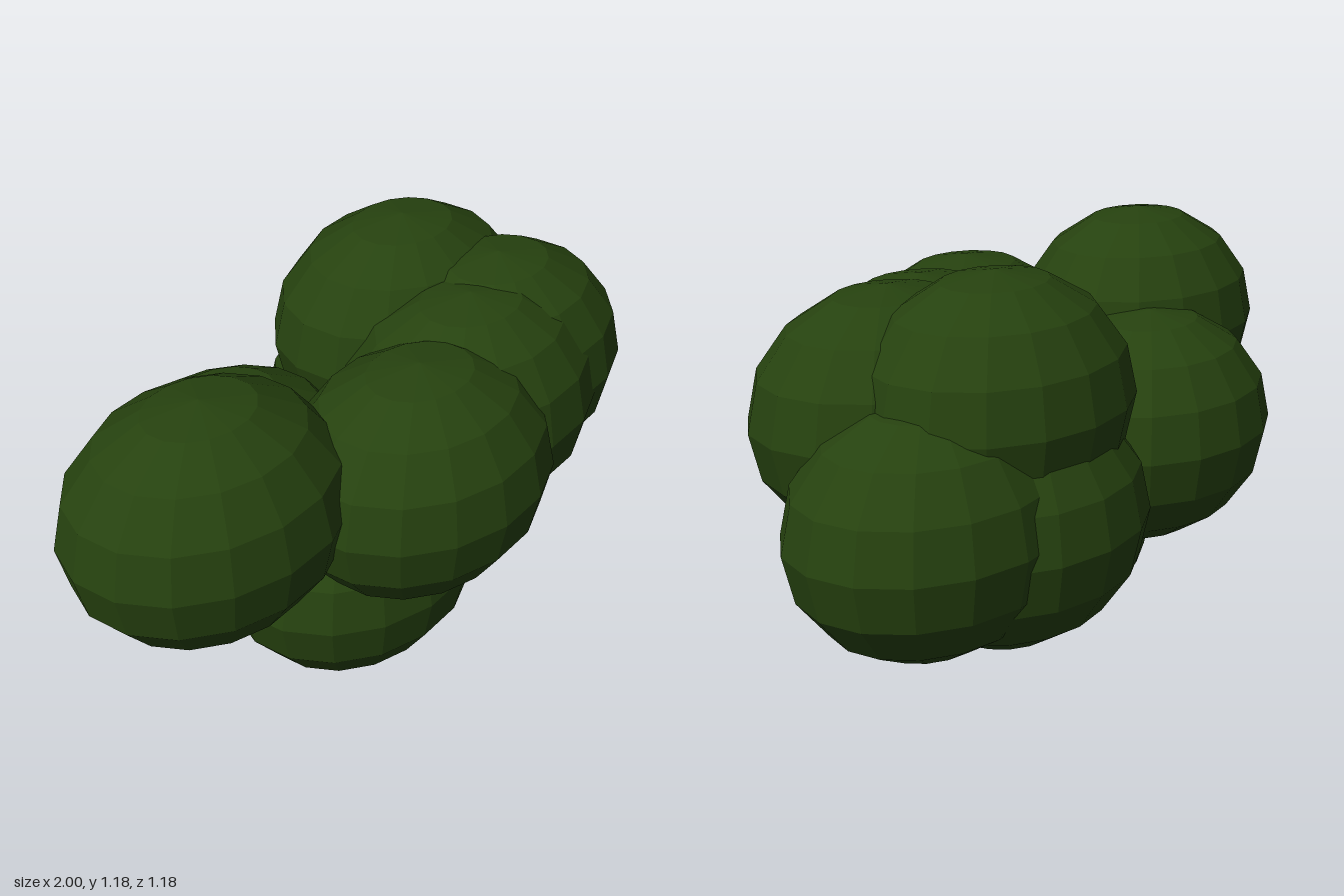
import * as THREE from 'three';

export function createModel() {
  const model = new THREE.Group();
  model.name = 'treeCrown';

  const leafGreen = new THREE.MeshStandardMaterial({ color: 0x26420f, flatShading: true });
  leafGreen.name = 'leaf green';
  const barkBrown = new THREE.MeshStandardMaterial({ color: 0x33210f, flatShading: true });
  barkBrown.name = 'bark brown';

  // Leaf clumps: one faceted, flattened ball repeated at each centre
  const clumpGeometry = new THREE.SphereGeometry(1, 16, 8);
  clumpGeometry.scale(0.4, 0.337, 0.328);
  const clumps = {
    leafClumpRight: [-0.6, 0.81, 0.09],
    leafClumpFront: [-0.03, 0.74, 0.26],
    leafClumpFrontLeft: [0.28, 0.765, 0.135],
    leafClumpLeft: [0.465, 0.785, 0.06],
    leafClumpTopBack: [0.345, 0.843, -0.2],
    leafClumpLowBack: [0.355, 0.54, -0.262],
    leafClumpFarLeft: [0.6, 0.58, -0.21],
    leafClumpBackRight: [-0.34, 0.59, -0.163],
    leafClumpBottom: [-0.065, 0.337, 0.04],
  };
  for (const [name, centre] of Object.entries(clumps)) {
    const clump = new THREE.Mesh(clumpGeometry, leafGreen);
    clump.name = name;
    clump.position.set(...centre);
    model.add(clump);
  }

  // Branch stubs reaching from below up into the leaves
  function addBranch(name, from, to, radius) {
    const start = new THREE.Vector3(...from);
    const axis = new THREE.Vector3(...to).sub(start);
    const branch = new THREE.Mesh(
      new THREE.CylinderGeometry(radius * 0.9, radius, axis.length(), 8), barkBrown);
    branch.name = name;
    branch.position.copy(start).addScaledVector(axis, 0.5);
    branch.quaternion.setFromUnitVectors(new THREE.Vector3(0, 1, 0), axis.normalize());
    model.add(branch);
  }
  addBranch('branchLeft', [0.205, 0.155, -0.15], [0.36, 0.5, -0.17], 0.027);
  addBranch('branchRight', [0.13, 0.155, -0.175], [0.2, 0.5, -0.2], 0.027);

  return model;
}
